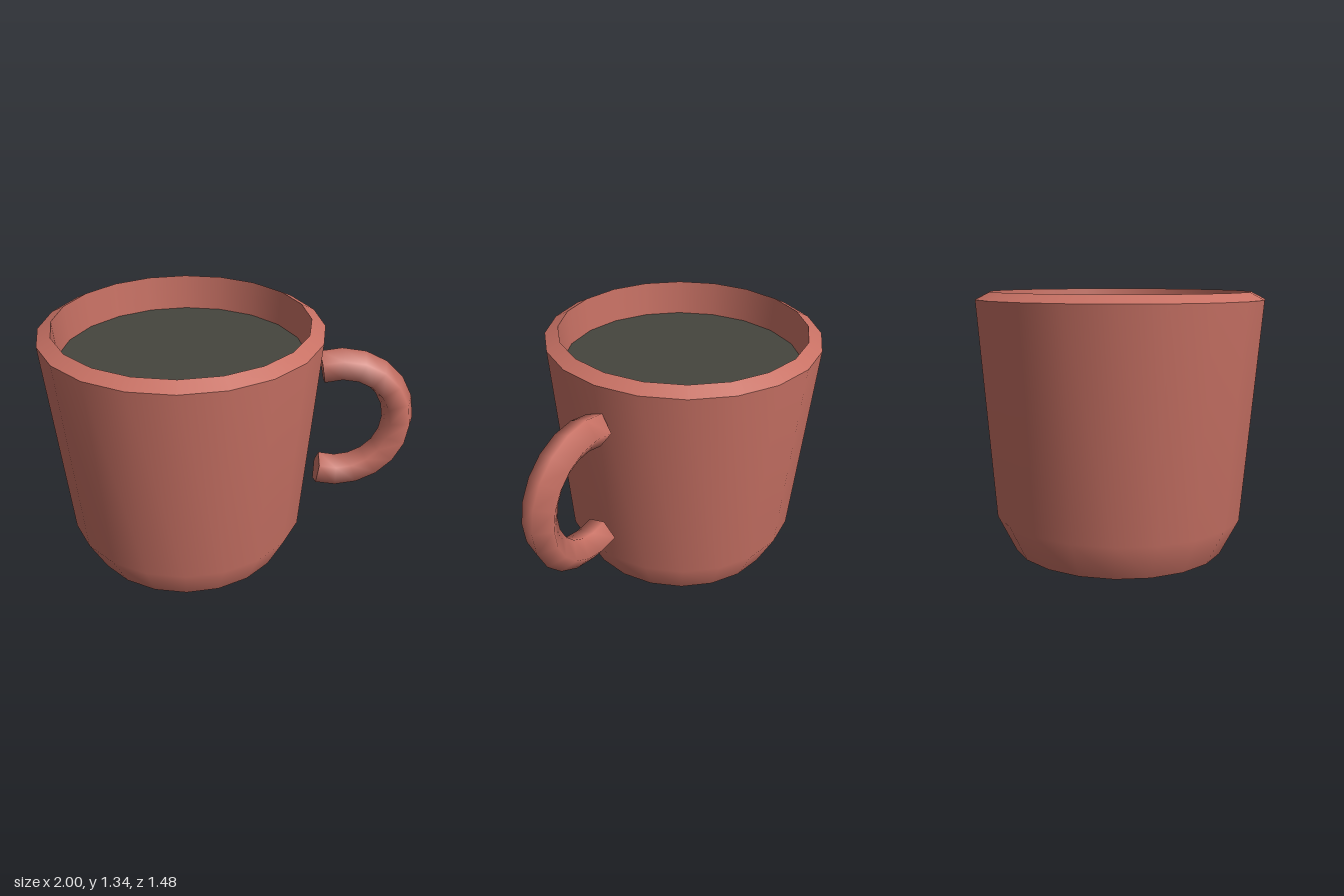
import * as THREE from 'three';

const SIDES = 20;
const CUP_X = -0.26;

// Sweeps a five-sided section round an arc; end rings face along the last chord.
function handleGeometry(steps = 12, sides = 5, major = 0.333, minor = 0.09) {
  const pos = [], index = [];
  const rad = THREE.MathUtils.degToRad;
  const ring = (i) => {
    const a = rad(-108 + 18 * i);
    const f = i === 0 ? rad(-99) : i === steps ? rad(99) : a;
    for (let j = 0; j < sides; j++) {
      const p = rad(-16 + (360 / sides) * j);
      const r = minor * Math.cos(p);
      pos.push(major * Math.cos(a) + r * Math.cos(f), major * Math.sin(a) + r * Math.sin(f), minor * Math.sin(p));
    }
  };
  for (let i = 0; i <= steps; i++) ring(i);
  for (let i = 0; i < steps; i++) {
    for (let j = 0; j < sides; j++) {
      const k = (j + 1) % sides;
      const a = i * sides + j, b = i * sides + k;
      index.push(a, a + sides, b, b, a + sides, b + sides);
    }
  }
  // Flat end caps on their own vertices
  for (const end of [0, steps]) {
    const s = pos.length / 3;
    ring(end);
    for (let j = 1; j < sides - 1; j++) {
      if (end === 0) index.push(s, s + j, s + j + 1);
      else index.push(s, s + j + 1, s + j);
    }
  }
  const geo = new THREE.BufferGeometry();
  geo.setAttribute('position', new THREE.Float32BufferAttribute(pos, 3));
  geo.setIndex(index);
  geo.computeVertexNormals();
  return geo;
}

export function createModel() {
  const clay = new THREE.MeshStandardMaterial({ color: 0xc87164 });
  clay.name = 'terracotta';
  const dark = new THREE.MeshStandardMaterial({ color: 0x45453e });
  dark.name = 'darkLiquid';

  const group = new THREE.Group();
  group.name = 'mug';
  const add = (name, geo, mat, x, y = 0) => {
    const mesh = new THREE.Mesh(geo, mat);
    mesh.name = name;
    mesh.position.set(x, y, 0);
    group.add(mesh);
  };

  // Cup surfaces, split where the edges are sharp
  const profiles = {
    outerWall: [[0.555, 0], [0.65, 0.19], [0.74, 1.3]],
    rim: [[0.74, 1.3], [0.667, 1.338]],
    innerWall: [[0.667, 1.338], [0.652, 1.13]],
  };
  for (const [name, pts] of Object.entries(profiles)) {
    const points = pts.map(([r, y]) => new THREE.Vector2(r, y));
    add(name, new THREE.LatheGeometry(points, SIDES), clay, CUP_X);
  }

  // Underside and liquid surface
  add('base', new THREE.CircleGeometry(0.555, SIDES).rotateX(Math.PI / 2), clay, CUP_X);
  add('liquid', new THREE.CircleGeometry(0.654, SIDES).rotateX(-Math.PI / 2), dark, CUP_X, 1.145);

  // Handle on the model's left
  add('handle', handleGeometry(), clay, 0.579, 0.745);

  return group;
}
